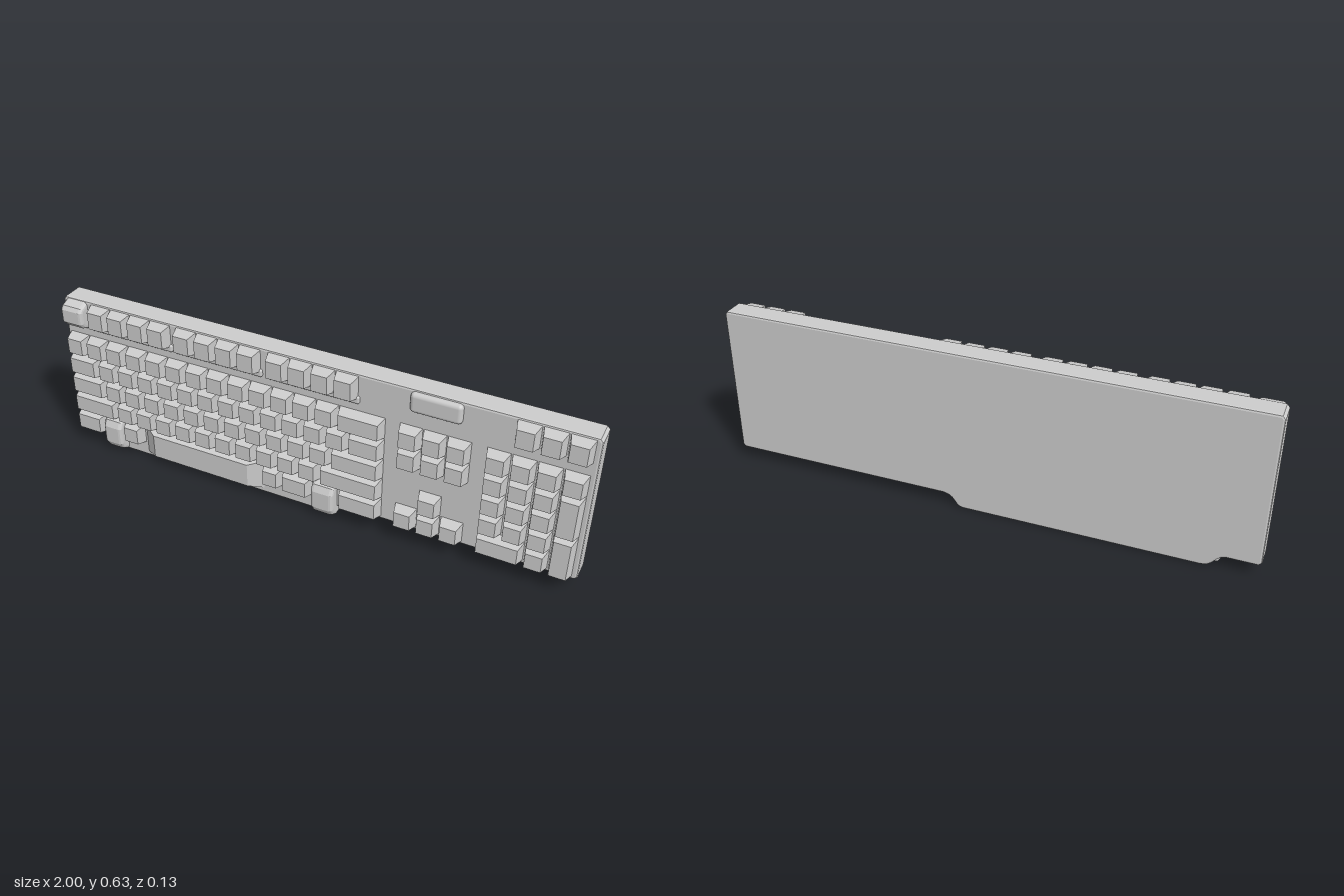
import * as THREE from 'three';
import { RoundedBoxGeometry } from 'three/addons/geometries/RoundedBoxGeometry.js';

const mat = new THREE.MeshStandardMaterial({ color: 0xcccccc, flatShading: true });
const smooth = new THREE.MeshStandardMaterial({ color: 0xcccccc });
const FRONT = 0.022; // z of the case front
const U = 0.0855; // key pitch
const rowTop = [0.486, 0.401, 0.316, 0.231, 0.146]; // upper edge of each main row

function add(parent, name, geo, material = mat) {
  const m = new THREE.Mesh(geo, material);
  m.name = name;
  parent.add(m);
}

// Tapered key from its base rectangle; the outer face is inset
function key(parent, name, x0, x1, y0, y1, ix = 0.011, iy = 0.01, top = 0.065) {
  const gap = 0.002, w = x1 - x0 - 2 * gap, h = y1 - y0 - 2 * gap, base = FRONT - 0.002;
  const g = new THREE.BoxGeometry(w, h, top - base);
  const p = g.attributes.position;
  for (let i = 0; i < p.count; i++) {
    if (p.getZ(i) > 0) {
      p.setX(i, p.getX(i) * (1 - (2 * ix) / w));
      p.setY(i, p.getY(i) * (1 - (2 * iy) / h));
    }
  }
  g.translate((x0 + x1) / 2, (y0 + y1) / 2, (top + base) / 2);
  add(parent, name, g);
}

// Row of keys with widths given in key units
function keyRow(parent, name, x, yTop, widths, u = U, h = 0.085) {
  for (const w of widths) {
    key(parent, name, x, x + w * u, yTop - h, yTop);
    x += w * u;
  }
}

// Rounded block: a (z, y) side profile swept along x
function lump(parent, name, x0, x1, pts) {
  const b = 0.014;
  const g = new THREE.ExtrudeGeometry(new THREE.Shape(pts.map(p => new THREE.Vector2(...p))), {
    depth: x1 - x0 - 2 * b, bevelThickness: b, bevelSize: b, bevelOffset: -b, bevelSegments: 3,
  });
  g.rotateY(-Math.PI / 2).translate(x1 - b, 0, 0);
  add(parent, name, g);
}

export function createModel() {
  const root = new THREE.Group();
  root.name = 'keyboard';

  // Case with the shallow lip below the space bar
  const s = new THREE.Shape();
  s.moveTo(-1, 0.06);
  s.lineTo(-0.99, 0.05);
  s.lineTo(-0.885, 0.05);
  s.bezierCurveTo(-0.84, 0.046, -0.85, 0.002, -0.8, 0);
  s.lineTo(0.075, 0);
  s.bezierCurveTo(0.11, 0.004, 0.1, 0.046, 0.15, 0.05);
  s.lineTo(0.99, 0.05);
  s.lineTo(1, 0.06);
  s.lineTo(1, 0.615);
  s.lineTo(0.99, 0.626);
  s.lineTo(-0.99, 0.626);
  s.lineTo(-1, 0.615);
  s.closePath();
  const b = 0.008;
  const caseGeo = new THREE.ExtrudeGeometry(s, {
    depth: 0.087 - 2 * b, bevelThickness: b, bevelSize: b, bevelOffset: -b, bevelSegments: 2, curveSegments: 6,
  });
  caseGeo.translate(0, 0, -0.065 + b);
  add(root, 'case', caseGeo);

  // Main key block
  const main = new THREE.Group();
  main.name = 'mainKeys';
  root.add(main);
  const X0 = -0.987, ones = n => Array(n).fill(1);
  keyRow(main, 'numberRowKey', X0, rowTop[0], [...ones(13), 2]);
  keyRow(main, 'upperLetterKey', X0, rowTop[1], [1.5, ...ones(12), 1.5]);
  keyRow(main, 'homeLetterKey', X0, rowTop[2], [1.75, ...ones(11), 2.25]);
  keyRow(main, 'lowerLetterKey', X0, rowTop[3], [2.25, ...ones(10), 2.75]);
  for (const [x0, x1] of [[-0.987, -0.865], [-0.776, -0.692], [-0.172, -0.092], [-0.092, 0.026], [0.134, 0.296]])
    key(main, 'bottomRowKey', x0, x1, 0.061, rowTop[4]);
  key(main, 'spaceBar', -0.692, -0.172, 0.018, rowTop[4], 0.055, 0.014, 0.056);

  // Rounded blocks beside the bottom row, running down to the lip
  const side = [[-0.03, 0.003], [0.025, 0.003], [0.05, 0.018], [0.067, 0.045],
    [0.067, 0.115], [0.054, 0.14], [0.02, 0.152], [-0.03, 0.152]];
  lump(main, 'roundedKey', -0.86, -0.78, side);
  lump(main, 'roundedKey', 0.034, 0.122, side);

  // Upper row of keys with its low trim strips
  const upper = new THREE.Group();
  upper.name = 'topRowKeys';
  root.add(upper);
  for (const x of [-0.88, -0.516, -0.148]) {
    keyRow(upper, 'topRowKey', x, 0.621, ones(4), U, 0.091);
    const trim = new RoundedBoxGeometry(4 * U + 0.01, 0.03, 0.02, 2, 0.008);
    trim.translate(x + 2 * U, 0.528, FRONT);
    add(upper, 'topRowTrim', trim, smooth);
  }
  lump(upper, 'cornerKey', -0.988, -0.896, [[0, 0.515], [0.028, 0.515], [0.048, 0.525],
    [0.066, 0.545], [0.066, 0.595], [0.056, 0.61], [0.022, 0.622], [0, 0.622]]);

  // Navigation and arrow keys
  const nav = new THREE.Group();
  nav.name = 'navigationKeys';
  root.add(nav);
  const V = 0.0845;
  keyRow(nav, 'navigationKey', 0.344, rowTop[0], ones(3), V);
  keyRow(nav, 'navigationKey', 0.344, rowTop[1], ones(3), V);
  keyRow(nav, 'arrowKey', 0.344 + V, rowTop[3], [1], V);
  keyRow(nav, 'arrowKey', 0.344, rowTop[4], ones(3), V);

  // Number pad with two tall keys and a wide zero
  const pad = new THREE.Group();
  pad.name = 'numberPad';
  root.add(pad);
  const P = 0.645;
  keyRow(pad, 'padTopKey', P + V, 0.621, ones(3), V, 0.091);
  keyRow(pad, 'padKey', P, rowTop[0], ones(4), V);
  for (const r of [1, 2, 3]) keyRow(pad, 'padKey', P, rowTop[r], ones(3), V);
  keyRow(pad, 'padKey', P, rowTop[4], [2, 1], V);
  for (const r of [1, 3]) keyRow(pad, 'tallPadKey', P + 3 * V, rowTop[r], [1], V, 0.17);

  // Soft raised panel above the navigation keys
  const panel = new RoundedBoxGeometry(0.18, 0.075, 0.036, 3, 0.015);
  panel.translate(0.468, 0.582, FRONT);
  add(root, 'raisedPanel', panel, smooth);

  return root;
}
